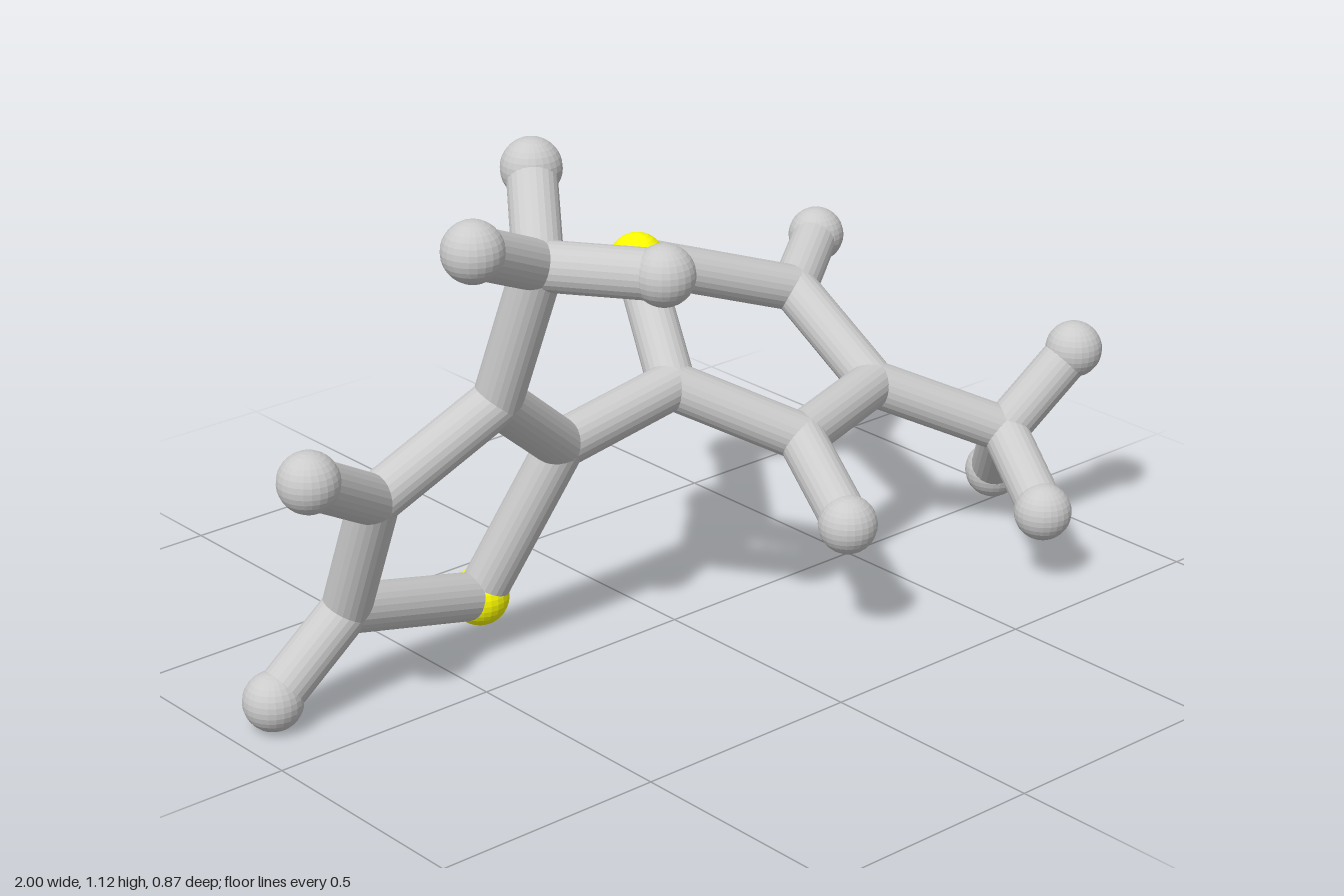
import * as THREE from 'three';

const BOND_R = 0.05;
const BALL_R = 0.061;

// Atom centres: joints are C*, hydrogen ends are H*, sulphur corners are S*
const ATOMS = {
  // left-hand ring (-x), standing upright
  S1: [-0.375, 0.113, -0.175],
  C1: [-0.25, 0.45, -0.06],
  C2: [-0.47, 0.627, 0.015],
  C3: [-0.738, 0.48, -0.03],
  C4: [-0.735, 0.21, -0.14],
  H3: [-0.94, 0.6, 0.042],
  H4: [-0.91, 0.063, -0.15],
  // upper methyl group
  C5: [-0.44, 0.925, 0.11],
  H5a: [-0.643, 1.018, 0.17],
  H5b: [-0.332, 1.058, -0.04],
  H5c: [-0.305, 0.93, 0.317],
  // right-hand ring (+x), lying tilted
  S2: [0.22, 0.642, -0.37],
  C6: [0.05, 0.495, -0.065],
  C7: [0.25, 0.38, 0.11],
  C8: [0.55, 0.39, 0.015],
  C9: [0.565, 0.528, -0.25],
  H7: [0.19, 0.27, 0.315],
  H9: [0.748, 0.575, -0.375],
  // lower methyl group
  C10: [0.785, 0.27, 0.18],
  H10a: [0.935, 0.434, 0.235],
  H10b: [0.705, 0.166, 0.375],
  H10c: [0.893, 0.104, 0.05],
};

const BONDS = {
  leftRingBond: ['S1 C1', 'C1 C2', 'C2 C3', 'C3 C4', 'C4 S1'],
  rightRingBond: ['S2 C6', 'C6 C7', 'C7 C8', 'C8 C9', 'C9 S2'],
  ringLink: ['C1 C6'],
  hydrogenBond: ['C3 H3', 'C4 H4', 'C7 H7', 'C9 H9'],
  upperMethylBond: ['C2 C5', 'C5 H5a', 'C5 H5b', 'C5 H5c'],
  lowerMethylBond: ['C8 C10', 'C10 H10a', 'C10 H10b', 'C10 H10c'],
};

export function createModel() {
  const group = new THREE.Group();
  group.name = 'molecule';
  const grey = new THREE.MeshStandardMaterial({ color: 0xcccccc, flatShading: true });
  const yellow = new THREE.MeshStandardMaterial({ color: 0xffff00, flatShading: true });
  const ball = new THREE.SphereGeometry(BALL_R, 24, 16);
  const joint = new THREE.SphereGeometry(BOND_R, 24, 16);
  const rod = new THREE.CylinderGeometry(BOND_R, BOND_R, 1, 24, 1, true);
  const up = new THREE.Vector3(0, 1, 0);

  // Balls at the ends and sulphur corners, flush joints at the carbons
  const kinds = {
    C: ['carbonJoint', joint, grey],
    H: ['hydrogenBall', ball, grey],
    S: ['sulphurBall', ball, yellow],
  };
  for (const [key, position] of Object.entries(ATOMS)) {
    const [name, geometry, material] = kinds[key[0]];
    const mesh = new THREE.Mesh(geometry, material);
    mesh.name = name;
    mesh.position.set(...position);
    group.add(mesh);
  }

  // Rods between bonded atoms
  for (const [name, pairs] of Object.entries(BONDS)) {
    for (const pair of pairs) {
      const [a, b] = pair.split(' ').map((key) => new THREE.Vector3(...ATOMS[key]));
      const dir = b.clone().sub(a);
      const mesh = new THREE.Mesh(rod, grey);
      mesh.name = name;
      mesh.position.copy(a).add(b).multiplyScalar(0.5);
      mesh.scale.y = dir.length();
      mesh.quaternion.setFromUnitVectors(up, dir.normalize());
      group.add(mesh);
    }
  }
  return group;
}
